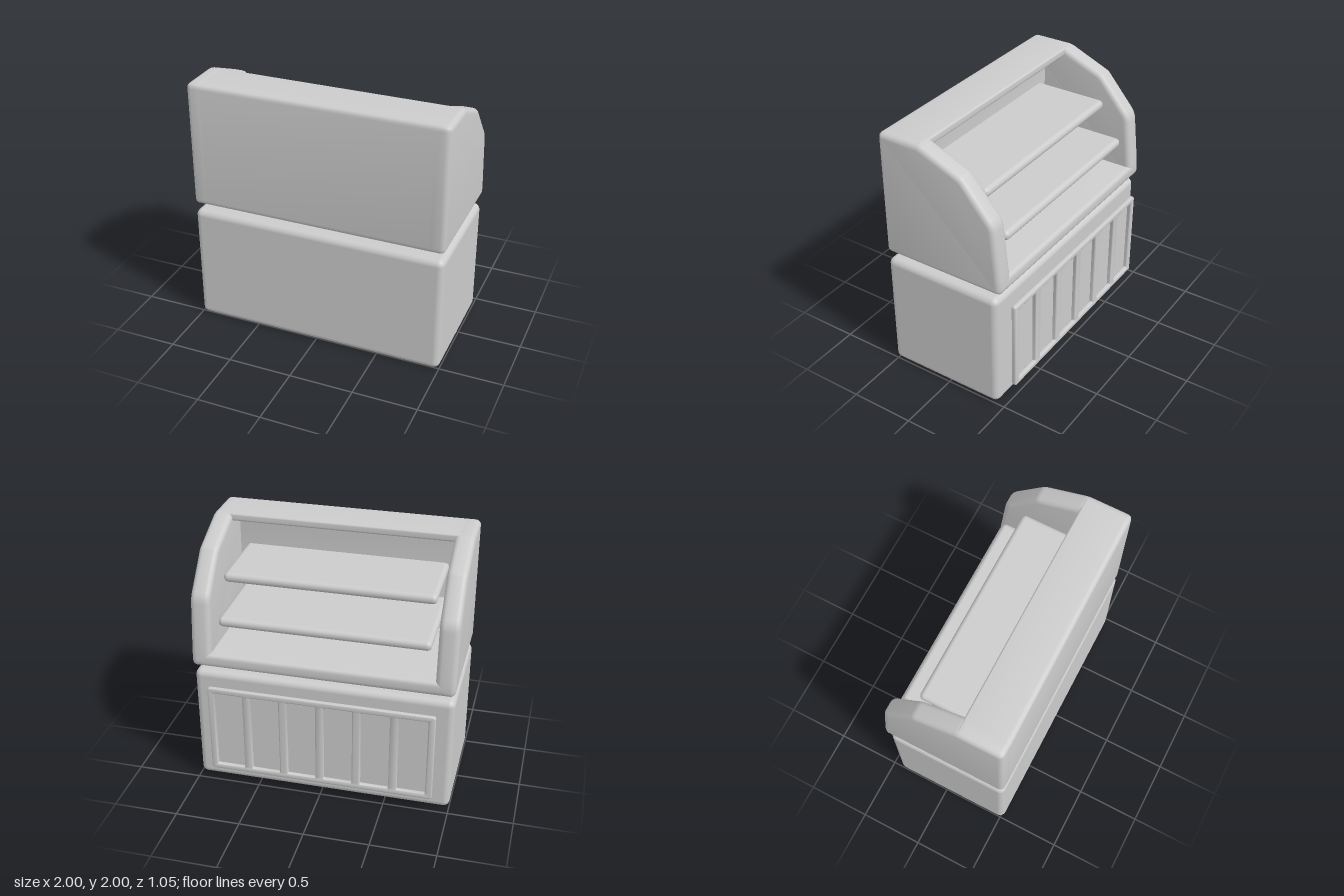
import * as THREE from 'three';
import { toCreasedNormals } from 'three/addons/utils/BufferGeometryUtils.js';
import { RoundedBoxGeometry } from 'three/addons/geometries/RoundedBoxGeometry.js';

const material = new THREE.MeshStandardMaterial({ color: 0xcccccc });

function addMesh(group, name, geometry, x = 0, y = 0, z = 0) {
  const mesh = new THREE.Mesh(geometry, material);
  mesh.name = name;
  mesh.position.set(x, y, z);
  group.add(mesh);
  return mesh;
}

// Closed outline with softened corners; each point is [x, y, radius]
function roundedOutline(points, PathType = THREE.Shape) {
  const path = new PathType();
  const n = points.length;
  points.forEach(([x, y, r], i) => {
    const corner = new THREE.Vector2(x, y);
    const toward = ([px, py]) =>
      new THREE.Vector2(px - x, py - y).setLength(r).add(corner);
    const a = toward(points[(i + n - 1) % n]);
    const b = toward(points[(i + 1) % n]);
    if (i === 0) path.moveTo(a.x, a.y);
    else path.lineTo(a.x, a.y);
    path.quadraticCurveTo(x, y, b.x, b.y);
  });
  path.closePath();
  return path;
}

const rectangle = (x0, y0, x1, y1, r) =>
  [[x0, y0, r], [x1, y0, r], [x1, y1, r], [x0, y1, r]];

// Extrusion centred on its depth, with a rounded bevel kept inside the outline
function extrude(shape, depth, bevel) {
  const geometry = new THREE.ExtrudeGeometry(shape, {
    depth: depth - 2 * bevel,
    bevelEnabled: bevel > 0,
    bevelThickness: bevel,
    bevelSize: bevel,
    bevelOffset: -bevel,
    bevelSegments: 4,
    curveSegments: 4,
  });
  geometry.translate(0, 0, bevel - depth / 2);
  return toCreasedNormals(geometry, 0.6);
}

export function createModel() {
  const model = new THREE.Group();
  model.name = 'displayCounter';

  // Lower cabinet
  addMesh(model, 'baseCabinet', new RoundedBoxGeometry(2, 0.95, 0.965, 4, 0.05), 0, 0.475, 0.0425);

  // Slatted frame standing just off the back of the base
  const frame = roundedOutline(rectangle(-0.875, 0.12, 0.875, 0.855, 0.02));
  const pitch = 0.285;
  for (let i = 0; i < 6; i++) {
    const x = (i - 2.5) * pitch;
    frame.holes.push(roundedOutline(rectangle(x - 0.11, 0.165, x + 0.11, 0.81, 0.008), THREE.Path));
  }
  addMesh(model, 'backFrame', extrude(frame, 0.038, 0.012), 0, 0, -0.502);

  // Upper case: profiles are drawn as (-z, y) and extruded across x
  const endProfile = roundedOutline([
    [-0.525, 1.01, 0.04], [0.475, 1.01, 0.04], [0.475, 1.1, 0.04], [0.425, 1.56, 0.05],
    [0.17, 1.855, 0.025], [-0.175, 2, 0.025], [-0.525, 2, 0.04],
  ]);
  const endGeometry = extrude(endProfile, 0.15, 0.04).rotateY(Math.PI / 2);
  for (const side of [-1, 1]) {
    addMesh(model, side > 0 ? 'leftEndPanel' : 'rightEndPanel', endGeometry, side * 0.925);
  }

  // Floor, front wall and top lip in one section around the open hollow
  const shellProfile = roundedOutline([
    [-0.525, 1.01, 0.04], [0.475, 1.01, 0.04], [0.475, 1.12, 0.035], [-0.345, 1.12, 0.02],
    [-0.345, 1.94, 0.02], [-0.17, 1.94, 0.015], [-0.17, 2, 0.015], [-0.525, 2, 0.04],
  ]);
  addMesh(model, 'caseShell', extrude(shellProfile, 1.92, 0).rotateY(Math.PI / 2));

  // Shelves fixed to the front wall; the lower one is deeper
  for (const [name, top, back] of [['upperShelf', 1.69, -0.24], ['lowerShelf', 1.4, -0.405]]) {
    const depth = 0.38 - back;
    addMesh(model, name, new RoundedBoxGeometry(1.6, 0.075, depth, 4, 0.036),
      0, top - 0.0375, back + depth / 2);
  }

  return model;
}
